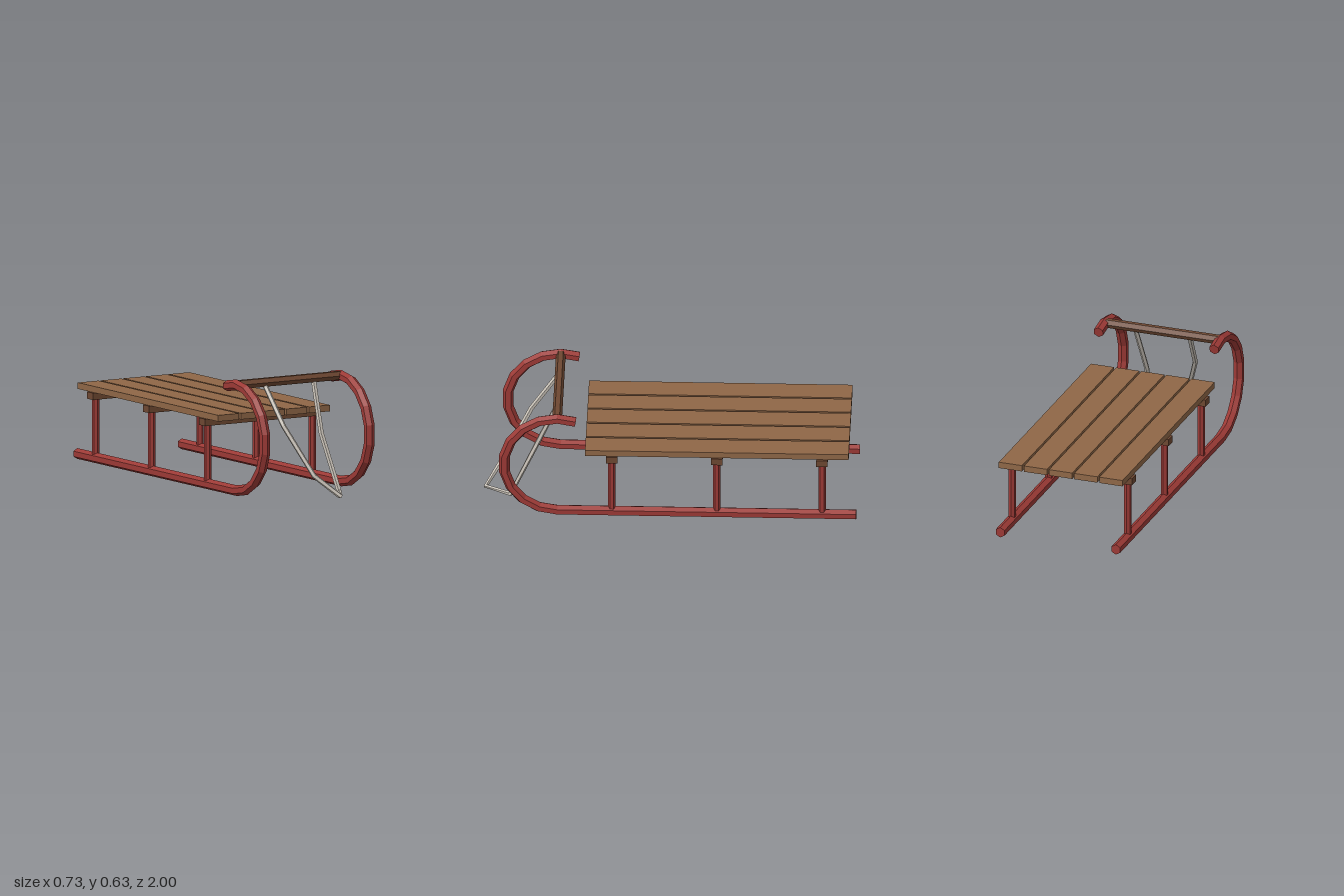
import * as THREE from 'three';

const mat = (name, color) => {
  const m = new THREE.MeshStandardMaterial({ color, flatShading: true });
  m.name = name;
  return m;
};

// Sweeps a regular polygon along a polyline, with both ends capped.
function sweep(points, radius, sides, up) {
  const n = points.length;
  let u = up.clone();
  const rings = points.map((p, i) => {
    const t = new THREE.Vector3();
    if (i > 0) t.add(p.clone().sub(points[i - 1]).normalize());
    if (i < n - 1) t.add(points[i + 1].clone().sub(p).normalize());
    t.normalize();
    u = u.clone().addScaledVector(t, -u.dot(t)).normalize();
    const v = t.clone().cross(u);
    return Array.from({ length: sides }, (_, j) => {
      const a = (j / sides) * Math.PI * 2;
      return p.clone().addScaledVector(u, radius * Math.cos(a)).addScaledVector(v, radius * Math.sin(a));
    });
  });
  const verts = [];
  const tri = (...corners) => corners.forEach((c) => verts.push(c.x, c.y, c.z));
  for (let i = 0; i < n - 1; i++) {
    for (let j = 0; j < sides; j++) {
      const k = (j + 1) % sides;
      tri(rings[i][j], rings[i][k], rings[i + 1][k]);
      tri(rings[i][j], rings[i + 1][k], rings[i + 1][j]);
    }
  }
  for (let j = 1; j < sides - 1; j++) {
    tri(rings[0][0], rings[0][j + 1], rings[0][j]);
    tri(rings[n - 1][0], rings[n - 1][j], rings[n - 1][j + 1]);
  }
  const g = new THREE.BufferGeometry();
  g.setAttribute('position', new THREE.Float32BufferAttribute(verts, 3));
  g.computeVertexNormals();
  return g;
}

export function createModel() {
  const group = new THREE.Group();
  group.name = 'sled';
  const red = mat('redPaint', 0x9c3a36);
  const wood = mat('slatWood', 0x8f6747);
  const darkWood = mat('darkWood', 0x6e4832);
  const cord = mat('ropeGrey', 0xc6bfb5);

  const add = (name, geometry, material, x = 0, y = 0, z = 0) => {
    const mesh = new THREE.Mesh(geometry, material);
    mesh.name = name;
    mesh.position.set(x, y, z);
    group.add(mesh);
    return mesh;
  };

  // Runners: straight rail, then a 200 degree curl in 20 degree steps
  const R = 0.286, cy = 0.318, cz = 0.6;
  const path = [new THREE.Vector3(0, cy - R, -1)];
  for (let i = 0; i <= 10; i++) {
    const a = THREE.MathUtils.degToRad(-90 + 20 * i);
    path.push(new THREE.Vector3(0, cy + R * Math.sin(a), cz + R * Math.cos(a)));
  }
  const runner = sweep(path, 0.029, 6, new THREE.Vector3(0, 1, 0));
  add('leftRunner', runner, red, 0.33);
  add('rightRunner', runner, red, -0.33);

  // Posts and cross beams
  const post = new THREE.CylinderGeometry(0.02, 0.02, 0.33, 6);
  const beam = new THREE.BoxGeometry(0.73, 0.038, 0.06);
  for (const z of [0.307, -0.255, -0.817]) {
    add('crossBeam', beam, darkWood, 0, 0.369, z);
    add('leftPost', post, red, 0.33, 0.195, z);
    add('rightPost', post, red, -0.33, 0.195, z);
  }

  // Seat slats
  const slat = new THREE.BoxGeometry(0.132, 0.034, 1.41);
  for (let i = -2; i <= 2; i++) add('seatSlat', slat, wood, i * 0.1435, 0.405, -0.255);

  // Front bar between the curls
  const bar = new THREE.CylinderGeometry(0.026, 0.026, 0.66, 6);
  bar.rotateZ(Math.PI / 2);
  add('frontBar', bar, darkWood, 0, cy + R, cz);

  // Pull rope hanging from the front bar
  const ropePath = [
    [-0.155, 0.593, 0.6], [-0.13, 0.385, 0.75], [-0.03, 0.125, 0.9], [0.08, 0.018, 0.988],
    [0.157, 0.02, 0.855], [0.132, 0.32, 0.715], [0.155, 0.593, 0.6],
  ].map((p) => new THREE.Vector3(...p));
  add('pullRope', sweep(ropePath, 0.014, 5, new THREE.Vector3(0, 0, 1)), cord);

  return group;
}
